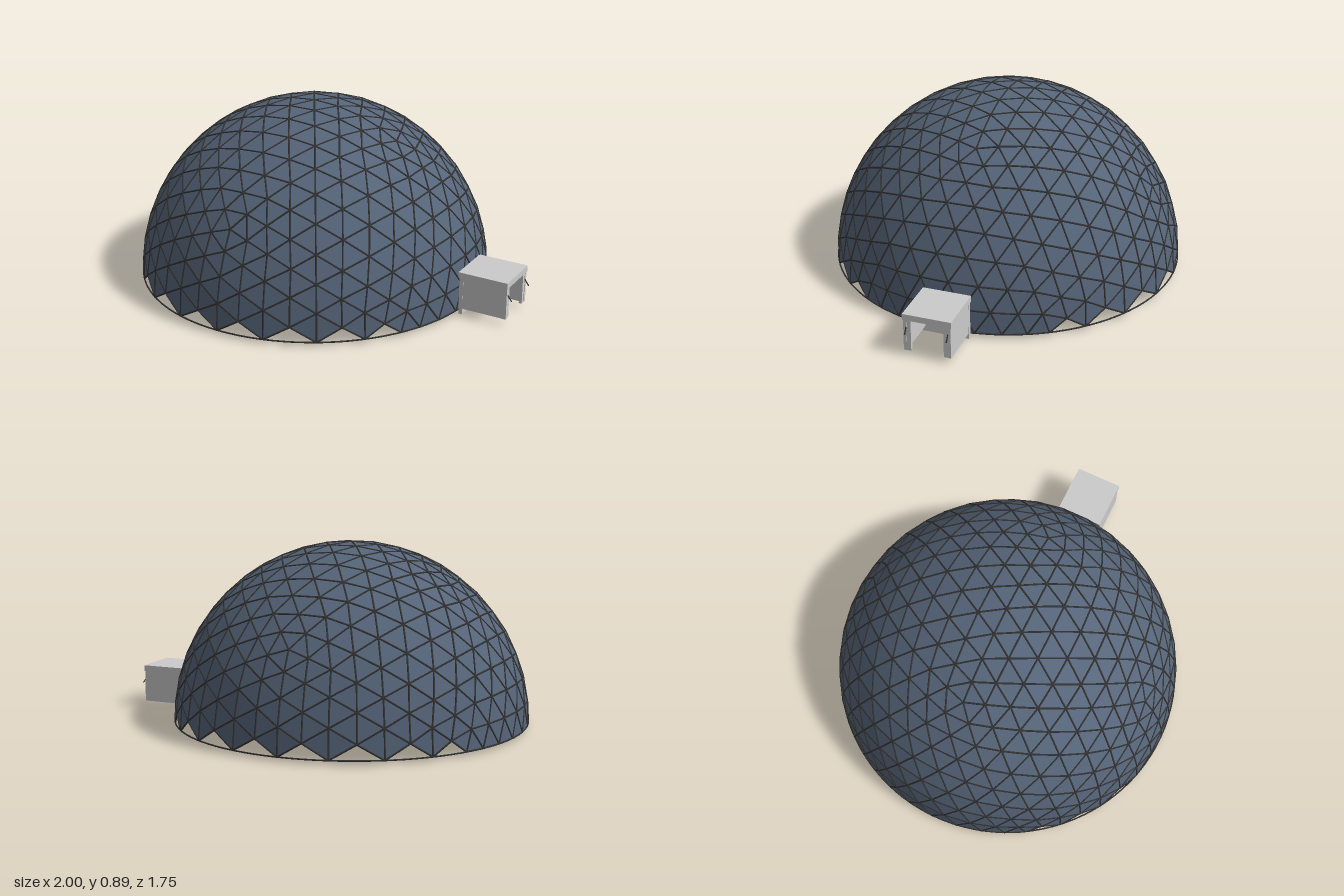
import * as THREE from 'three';
import { mergeGeometries } from 'three/addons/utils/BufferGeometryUtils.js';

const R = 0.87, CX = -0.13, BASE = 0.02;
const material = (color, extra = {}) => new THREE.MeshStandardMaterial({ color, ...extra });

function addMesh(parent, name, geometry, mat) {
  const mesh = new THREE.Mesh(geometry, mat);
  mesh.name = name;
  parent.add(mesh);
  return mesh;
}

function box(w, h, d, x, y, z) {
  return new THREE.BoxGeometry(w, h, d).translate(x, y, z);
}

// Slender bar between two points
function bar(a, b, radius, sides = 5) {
  const dir = b.clone().sub(a);
  const turn = new THREE.Quaternion().setFromUnitVectors(
    new THREE.Vector3(0, 1, 0), dir.clone().normalize());
  const mid = a.clone().add(b).multiplyScalar(0.5);
  return new THREE.CylinderGeometry(radius, radius, dir.length(), sides, 1, true)
    .applyQuaternion(turn).translate(mid.x, mid.y, mid.z);
}

// Geodesic shell: every triangle that lies wholly above the base plane
function createDome() {
  const dome = new THREE.Group();
  dome.name = 'dome';
  const source = new THREE.IcosahedronGeometry(R, 7).attributes.position;
  const positions = [], edges = new Map();
  const key = (v) => v.toArray().map((n) => Math.round(n * 1000)).join();
  for (let i = 0; i < source.count; i += 3) {
    const tri = [0, 1, 2].map((k) => new THREE.Vector3().fromBufferAttribute(source, i + k));
    if (tri.some((v) => v.y < -0.001)) continue;
    tri.forEach((v, k) => {
      positions.push(v.x, v.y, v.z);
      const next = tri[(k + 1) % 3];
      edges.set([key(v), key(next)].sort().join('|'), [v, next]);
    });
  }
  const shell = new THREE.BufferGeometry();
  shell.setAttribute('position', new THREE.Float32BufferAttribute(positions, 3));
  shell.computeVertexNormals();
  addMesh(dome, 'domePanels', shell,
    material(0x56657a, { side: THREE.DoubleSide, flatShading: true }));

  // Struts on every panel edge, and the ring at the foot
  const dark = material(0x333333);
  const struts = [...edges.values()].map(([a, b]) => bar(a, b, 0.0045));
  addMesh(dome, 'domeStruts', mergeGeometries(struts), dark);
  addMesh(dome, 'baseRing', new THREE.TorusGeometry(R, 0.004, 5, 96).rotateX(Math.PI / 2), dark);
  dome.position.set(CX, BASE, 0);
  return dome;
}

// Block with a grid of lit windows on all four walls
function createBuilding(x, z, w, h, d, wallMat, windowMat) {
  const building = new THREE.Group();
  building.name = 'building';
  addMesh(building, 'buildingWalls', box(w, h, d, 0, h / 2, 0), wallMat);
  addMesh(building, 'buildingRoof', box(w * 0.4, 0.02, d * 0.4, 0, h + 0.01, 0), wallMat);
  const panes = [];
  const rows = Math.max(3, Math.round(h / 0.045));
  for (let side = 0; side < 4; side++) {
    const span = side % 2 ? d : w, reach = side % 2 ? w : d;
    const cols = Math.round(span / 0.042);
    for (let r = 0; r < rows; r++) {
      for (let c = 0; c < cols; c++) {
        panes.push(box(0.018, 0.024, 0.005,
          ((c + 0.5) / cols - 0.5) * span, ((r + 0.5) / rows) * h, reach / 2)
          .rotateY(side * Math.PI / 2));
      }
    }
  }
  addMesh(building, 'buildingWindows', mergeGeometries(panes), windowMat);
  building.position.set(x, BASE, z);
  return building;
}

// Entrance box, open at the front and underneath
function createAirlock() {
  const airlock = new THREE.Group();
  airlock.name = 'airlock';
  const shell = material(0xcccccc);
  addMesh(airlock, 'airlockRoof', box(0.25, 0.03, 0.235, 0.855, 0.2, 0), shell);
  addMesh(airlock, 'airlockBackWall', box(0.02, 0.19, 0.23, 0.745, 0.095, 0), shell);
  addMesh(airlock, 'airlockLintel', box(0.03, 0.012, 0.17, 0.79, 0.115, 0), shell);
  const dark = material(0x333333);
  for (const s of [-1, 1]) {
    addMesh(airlock, 'airlockWall', box(0.235, 0.16, 0.015, 0.86, 0.108, s * 0.106), shell);
    addMesh(airlock, 'airlockJamb', box(0.015, 0.16, 0.035, 0.968, 0.108, s * 0.096), shell);
    addMesh(airlock, 'airlockHandle', bar(new THREE.Vector3(0.975, 0.15, s * 0.1),
      new THREE.Vector3(0.998, 0.12, s * 0.1), 0.003), dark);
  }
  return airlock;
}

export function createModel() {
  const model = new THREE.Group();
  model.name = 'domedSettlement';
  model.add(createDome(), createAirlock());

  // Buildings: x, z, width, height, depth
  const wallMat = material(0x5c5753), windowMat = material(0xe0d8c0);
  const plots = [
    [-0.12, -0.01, 0.22, 0.34, 0.21],
    [0.18, 0.19, 0.17, 0.21, 0.17],
    [0.165, -0.28, 0.17, 0.14, 0.16],
    [-0.1, -0.46, 0.28, 0.14, 0.17],
    [-0.37, -0.27, 0.17, 0.22, 0.17],
    [-0.43, 0.24, 0.17, 0.18, 0.17],
  ];
  for (const plot of plots) model.add(createBuilding(...plot, wallMat, windowMat));
  return model;
}
